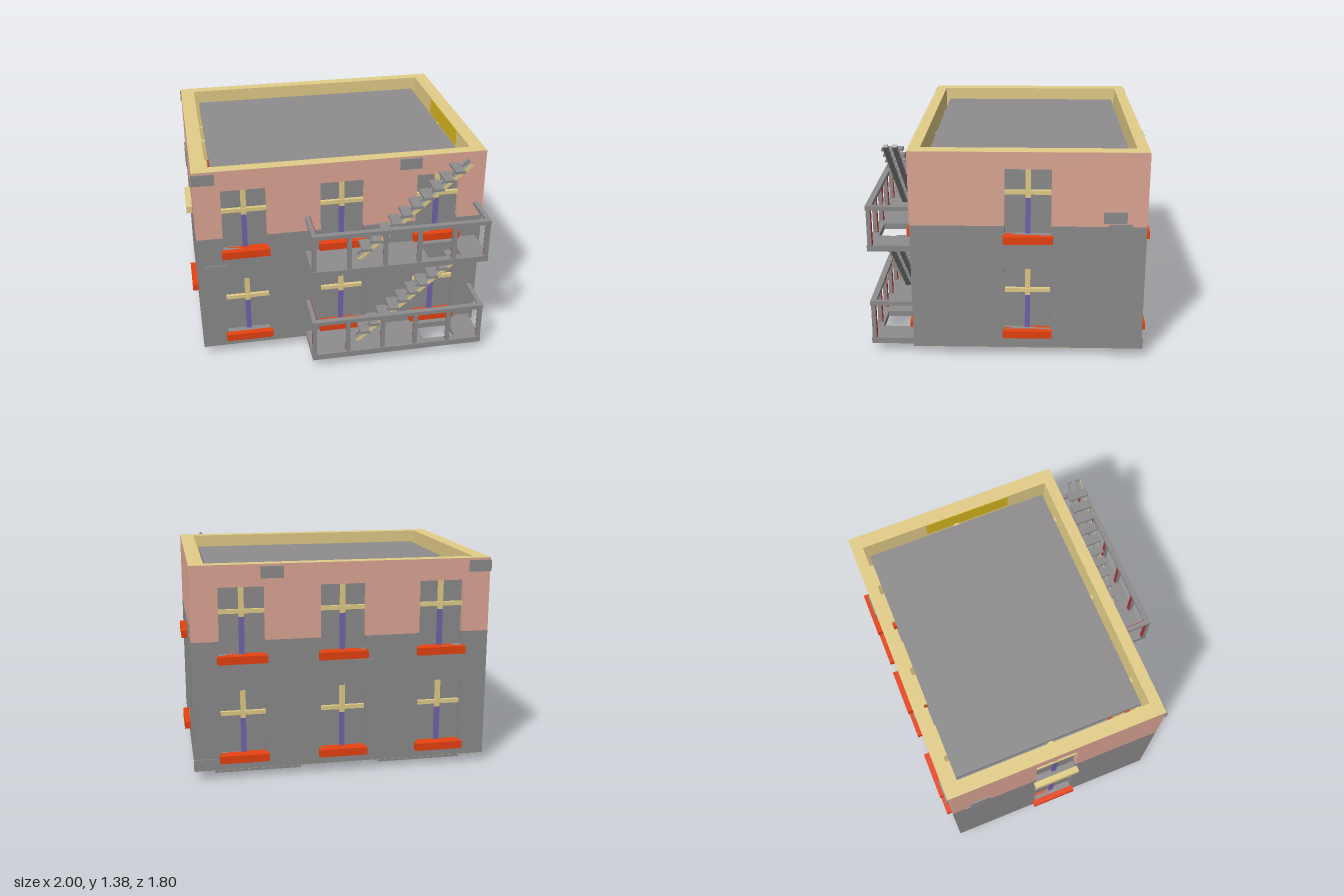
import * as THREE from 'three';

const mat = (name, color) => {
  const m = new THREE.MeshStandardMaterial({ color });
  m.name = name;
  return m;
};
const concrete = mat('concrete grey', 0x8e8c8d);
const brick = mat('faded brick', 0xdfa896);
const plaster = mat('tan plaster', 0xe3cd88);
const red = mat('sill red', 0xe84210);
const purple = mat('purple mullion', 0x7264ac);
const rust = mat('rust rail', 0xb03030);
const mustard = mat('mustard patch', 0xd8b820);
const dark = mat('dark rubble', 0x404040);

const BASE = 0.057, TOP = 1.385, SPLIT = 0.905, SKIN = 0.05, HALF = 0.145, CAP = 0.001;

// Box given by its minimum and maximum corners
function box(parent, name, material, [x0, y0, z0], [x1, y1, z1]) {
  const m = new THREE.Mesh(new THREE.BoxGeometry(x1 - x0, y1 - y0, z1 - z0), material);
  m.name = name;
  m.position.set((x0 + x1) / 2, (y0 + y1) / 2, (z0 + z1) / 2);
  parent.add(m);
  return m;
}

function outline(points) {
  return new THREE.Shape(points.map(([x, y]) => new THREE.Vector2(x, y)));
}

function slab(parent, name, material, shape, depth, z) {
  const m = new THREE.Mesh(new THREE.ExtrudeGeometry(shape, { depth, bevelEnabled: false }), material);
  m.name = name;
  m.position.z = z;
  parent.add(m);
  return m;
}

// Sill, pane and cross bars of one window; bottom and top are the opening heights
function addWindow(parent, x, bottom, top, t, sillMaterial) {
  const g = new THREE.Group();
  g.name = 'window';
  g.position.x = x;
  const bar = top - 0.157;
  box(g, 'pane', concrete, [-HALF, bottom, -SKIN], [HALF, top, -SKIN + 0.008]);
  box(g, 'sill', sillMaterial, [-0.158, bottom - 0.05, -t - 0.03], [0.158, bottom, 0.04]);
  box(g, 'crossBar', plaster, [-0.24, bar - 0.013, -t - 0.028], [0.24, bar + 0.013, -0.02]);
  box(g, 'lowerMullion', purple, [-0.017, bottom, -t - 0.02], [0.017, bar - 0.035, -0.025]);
  box(g, 'upperMullion', plaster, [-0.017, bar - 0.035, -t - 0.035], [0.017, top, -0.025]);
  parent.add(g);
}

// One wall with its outer face at local z = 0, looking along +z
function wall(name, width, t, inset, rise, centres, upperSill = red) {
  const g = new THREE.Group();
  g.name = name;
  const w = width / 2 - (inset ? SKIN : 0);
  const lo = [0.163 + rise, 0.585 + rise], hi = [0.815 + rise, 1.245 + rise];

  // Grey lower storey, notched where the upper windows cross the colour line
  const lower = [[-w, BASE + CAP], [w, BASE + CAP], [w, SPLIT]];
  for (const x of [...centres].reverse()) {
    lower.push([x + HALF, SPLIT], [x + HALF, hi[0]], [x - HALF, hi[0]], [x - HALF, SPLIT]);
  }
  lower.push([-w, SPLIT]);
  const lowerShape = outline(lower);
  for (const x of centres) {
    lowerShape.holes.push(outline([
      [x - HALF, lo[0]], [x - HALF, lo[1]], [x + HALF, lo[1]], [x + HALF, lo[0]]]));
  }
  slab(g, 'lowerWall', concrete, lowerShape, SKIN, -SKIN);

  // Brick upper storey
  const upper = [[-w, TOP - CAP], [-w, SPLIT]];
  for (const x of centres) {
    upper.push([x - HALF, SPLIT], [x - HALF, hi[1]], [x + HALF, hi[1]], [x + HALF, SPLIT]);
  }
  upper.push([w, SPLIT], [w, TOP - CAP]);
  slab(g, 'upperWall', brick, outline(upper), SKIN, -SKIN);

  // Plaster lining, coping and bottom rim
  const l = width / 2 - SKIN;
  box(g, 'lining', plaster, [-l, BASE + CAP, -t], [l, TOP - CAP, -SKIN]);
  box(g, 'coping', plaster, [-w, TOP - CAP, -t], [w, TOP, 0]);
  box(g, 'bottomRim', plaster, [-w, BASE, -t], [w, BASE + CAP, 0]);

  for (const x of centres) {
    addWindow(g, x, ...lo, t, red);
    addWindow(g, x, ...hi, t, upperSill);
  }
  return g;
}

// Thin repair plates: [centre x, centre y] in wall coordinates
function plates(parent, list) {
  for (const [x, y] of list) {
    box(parent, 'wallPatch', concrete, [x - 0.073, y - 0.037, -0.002], [x + 0.073, y + 0.037, 0.009]);
  }
}

// Balcony with floor opening, railing and a stair rising to the left
function balcony(y) {
  const g = new THREE.Group();
  g.name = 'balcony';
  g.position.y = y;
  const x0 = -0.25, x1 = 0.925, z0 = 0.625, z1 = 0.905, rail = [0.275, 0.302];

  // Floor drawn in x and -z, then laid flat
  const floor = outline([[x0, -z1], [x1, -z1], [x1, -z0], [x0, -z0]]);
  floor.holes.push(outline([[0.53, -0.855], [0.53, -0.68], [0.755, -0.68], [0.755, -0.855]]));
  slab(g, 'balconyFloor', concrete, floor, 0.04, 0).rotation.x = -Math.PI / 2;

  // Railing with rust on its inner faces
  box(g, 'frontRail', concrete, [x0, rail[0], 0.867], [x1, rail[1], z1]);
  box(g, 'leftEndRail', concrete, [x1 - 0.03, rail[0], z0], [x1, rail[1], 0.867]);
  box(g, 'rightEndRail', concrete, [x0, rail[0], z0], [x0 + 0.03, rail[1], 0.867]);
  box(g, 'railRust', rust, [x0 + 0.03, rail[0], z0], [x0 + 0.034, rail[1] - 0.001, 0.867]);
  for (const x of [-0.236, -0.006, 0.232, 0.458, 0.69, 0.911]) {
    box(g, 'railPost', concrete, [x - 0.013, 0.04, 0.873], [x + 0.013, rail[0], 0.9]);
    box(g, 'postRust', rust, [x - 0.013, 0.04, 0.869], [x + 0.013, rail[0], 0.873]);
  }

  // Stair with treads resting on two stringers
  const stair = new THREE.Group();
  stair.name = 'stair';
  const dx = 0.73, dy = 0.625, n = Math.hypot(dx, dy);
  const ox = -dy / n * 0.011, oy = dx / n * 0.011;
  const stringer = outline([
    [0.075 - ox, 0.036 - oy], [0.075 + dx - ox, 0.036 + dy - oy],
    [0.075 + dx + ox, 0.036 + dy + oy], [0.075 + ox, 0.036 + oy]]);
  for (const z of [0.718, 0.776]) slab(stair, 'stringer', concrete, stringer, 0.03, z - 0.015);
  slab(stair, 'stringerFace', plaster, stringer, 0.004, 0.791);
  for (let i = 0; i < 10; i++) {
    const x = 0.13 + i * 0.066, h = 0.111 + i * 0.0565;
    box(stair, 'tread', concrete, [x - 0.033, h - 0.009, 0.675], [x + 0.033, h + 0.009, 0.812]);
  }
  g.add(stair);
  return g;
}

// Foundation under the right half: four bare outward faces, open above and below
function foundationSkirt(x0, x1, z0, z1, height) {
  const g = new THREE.Group();
  g.name = 'rightFoundation';
  const w = x1 - x0, d = z1 - z0;
  for (let i = 0; i < 4; i++) {
    const a = i * Math.PI / 2, face = new THREE.Mesh(new THREE.PlaneGeometry(i % 2 ? d : w, height), concrete);
    face.name = 'foundationFace';
    face.rotation.y = a;
    face.position.set((x0 + x1) / 2 + Math.sin(a) * w / 2, height / 2, (z0 + z1) / 2 + Math.cos(a) * d / 2);
    g.add(face);
  }
  return g;
}

export function createModel() {
  const model = new THREE.Group();
  model.name = 'ruinedHouse';
  const cols = [-0.643, 0, 0.643];

  // Four walls
  const front = wall('frontWall', 1.92, 0.075, false, 0, cols);
  front.position.z = 0.625;
  plates(front, [[-0.893, 1.333], [0.45, 1.333], [-0.85, 0.665]]);

  const back = wall('backWall', 1.92, 0.075, false, 0, cols);
  back.rotation.y = Math.PI;
  back.position.z = -0.86;
  plates(back, [[-0.45, 1.333], [0.893, 1.333], [0.13, 0.715], [-0.893, 0.1]]);

  const left = wall('leftWall', 1.485, 0.095, true, 0.031, [0]);
  left.rotation.y = Math.PI / 2;
  left.position.set(0.96, 0, -0.1175);
  plates(left, [[0.543, 0.965], [0.578, 0.885]]);

  const right = wall('rightWall', 1.485, 0.095, true, 0.031, [0], plaster);
  right.rotation.y = -Math.PI / 2;
  right.position.set(-0.96, 0, -0.1175);
  plates(right, [[-0.543, 0.965], [-0.578, 0.885]]);
  model.add(front, back, left, right);

  // Sunken roof slab and the painted patch inside the left parapet
  box(model, 'roof', concrete, [-0.83, 1.27, -0.76], [0.83, 1.305, 0.52]);
  box(model, 'parapetPatch', mustard, [0.861, 1.27, -0.33], [0.865, 1.383, 0.27]);

  // Left foundation as four thin walls, right foundation as a skirt
  const fh = 0.3;
  box(model, 'leftFoundation', concrete, [0.26, 0, -0.76], [0.28, fh, -0.14]);
  box(model, 'leftFoundation', concrete, [0.805, 0, -0.76], [0.825, fh, -0.14]);
  box(model, 'leftFoundation', concrete, [0.28, 0, -0.76], [0.805, fh, -0.74]);
  box(model, 'leftFoundation', concrete, [0.28, 0, -0.16], [0.805, fh, -0.14]);
  model.add(foundationSkirt(-0.83, -0.265, -0.76, 0.27, fh));

  // Wedge of rubble, drawn in z and y
  const rubble = slab(model, 'rubble', dark, outline([[0.19, 0.002], [0.28, 0.056], [0.215, 0.056]]), 0.045, 0);
  rubble.rotation.y = -Math.PI / 2;
  rubble.position.x = -0.26;

  model.add(balcony(0.057), balcony(0.712));
  return model;
}
